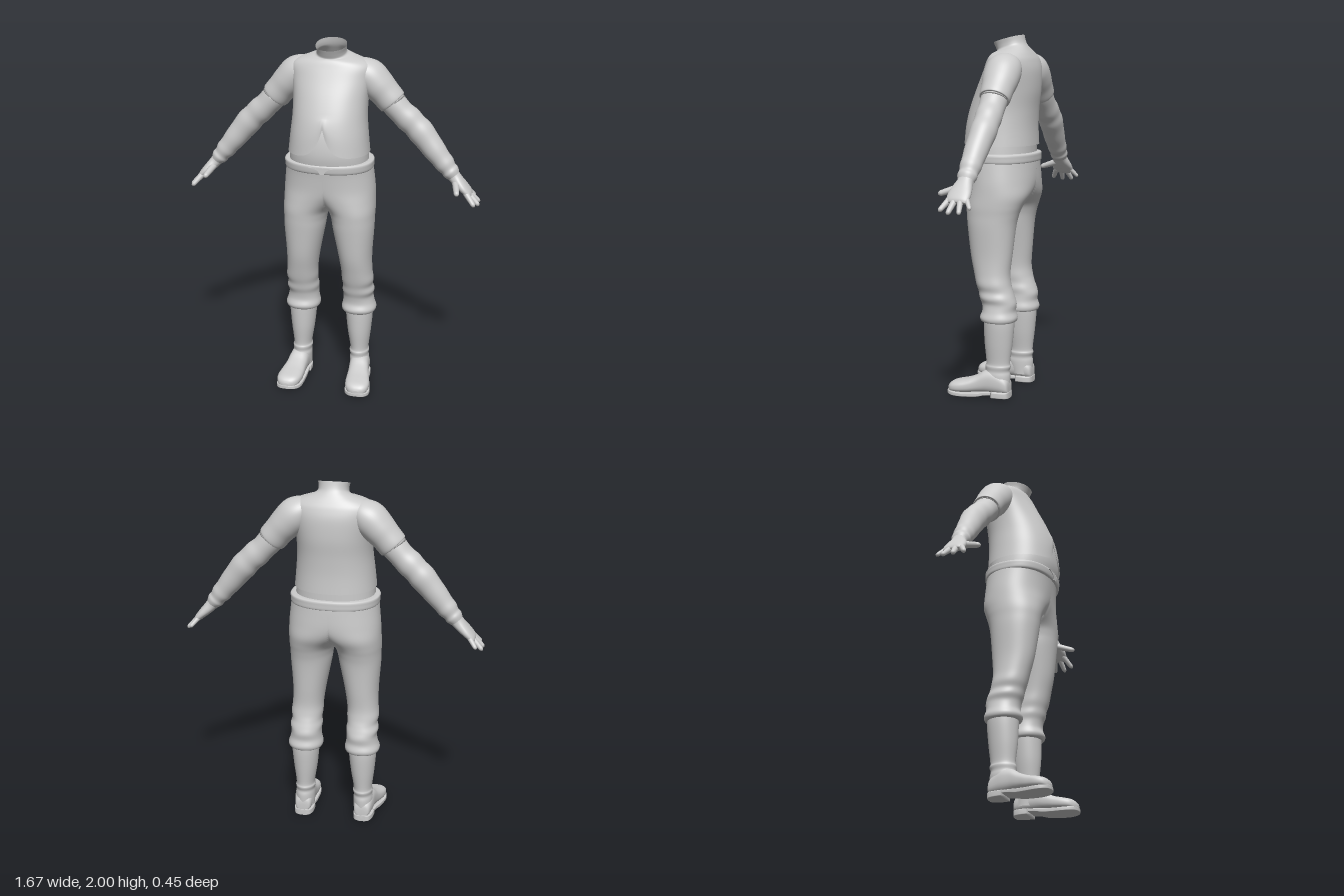
import * as THREE from 'three';

const material = new THREE.MeshStandardMaterial({ color: 0xcccccc, side: THREE.DoubleSide });
const clamp = THREE.MathUtils.clamp;

// Smoothly resample a list of cross-section rows.
function resample(rows, steps) {
  const out = [];
  const at = i => rows[clamp(i, 0, rows.length - 1)];
  for (let i = 0; i < rows.length - 1; i++) {
    for (let k = 0; k < steps; k++) {
      const t = k / steps;
      out.push(rows[i].map((b, n) => {
        const a = at(i - 1)[n], c = at(i + 1)[n], d = at(i + 2)[n];
        return b + 0.5 * t * (c - a + t * (2 * a - 5 * b + 4 * c - d + t * (3 * (b - c) + d - a)));
      }));
    }
  }
  out.push(rows[rows.length - 1]);
  return out;
}

// Skin cross-sections; point(row, cos, sin, step) places each vertex.
function loft(rows, point, { seg = 48, steps = 5, n = 2, capStart = false, capEnd = false } = {}) {
  const r = resample(rows, steps), pos = [], index = [];
  const bend = v => Math.sign(v) * Math.pow(Math.abs(v), 2 / n);
  r.forEach((row, i) => {
    const a = r[Math.max(i - 1, 0)], b = r[Math.min(i + 1, r.length - 1)];
    const step = b.map((v, k) => v - a[k]);
    for (let j = 0; j < seg; j++) {
      const q = j / seg * Math.PI * 2;
      pos.push(...point(row, bend(Math.cos(q)), bend(Math.sin(q)), step));
    }
  });
  const tri = (a, b, c) => {
    // faces lying on the mirror plane are hidden
    if (pos[a * 3] === 0 && pos[b * 3] === 0 && pos[c * 3] === 0) return;
    index.push(a, b, c);
  };
  for (let i = 0; i < r.length - 1; i++) {
    for (let j = 0; j < seg; j++) {
      const k = (j + 1) % seg, a = i * seg + j, b = i * seg + k;
      tri(a, a + seg, b);
      tri(b, a + seg, b + seg);
    }
  }
  const cap = (ring, flip) => {
    const m = [0, 0, 0], first = ring * seg, center = pos.length / 3;
    for (let j = 0; j < seg; j++) for (let k = 0; k < 3; k++) m[k] += pos[(first + j) * 3 + k] / seg;
    pos.push(...m);
    for (let j = 0; j < seg; j++) {
      const a = first + j, b = first + (j + 1) % seg;
      flip ? index.push(center, b, a) : index.push(center, a, b);
    }
  };
  if (capStart) cap(0, false);
  if (capEnd) cap(r.length - 1, true);
  const g = new THREE.BufferGeometry();
  g.setAttribute('position', new THREE.Float32BufferAttribute(pos, 3));
  g.setIndex(index);
  g.computeVertexNormals();
  return g;
}

// Row layouts: upright [y, cx, rx, zFront, zBack], limb [x, y, z, rThick, rZ], shoe [z, cx, rx, yLow, yHigh]
const upright = ([y, cx, rx, zf, zb], c, s) => [cx + rx * c, y, (zf + zb) / 2 + (zf - zb) / 2 * s];
const limb = ([x, y, z, ra, rz], c, s, d) => {
  const l = Math.hypot(d[0], d[1]);
  return [x + d[1] / l * ra * c, y - d[0] / l * ra * c, z + rz * s];
};
const shoe = ([z, cx, rx, lo, hi], c, s) => [cx - rx * c, (lo + hi) / 2 + (hi - lo) / 2 * s, z];

// Tapered rounded finger between two points.
function finger(a, b, r) {
  const from = new THREE.Vector3(...a), dir = new THREE.Vector3(...b).sub(from), len = dir.length();
  const g = new THREE.CapsuleGeometry(r, len - r, 6, 14, 4), p = g.attributes.position;
  for (let i = 0; i < p.count; i++) {
    const k = 1 - 0.3 * clamp(p.getY(i) / len + 0.5, 0, 1);
    p.setX(i, p.getX(i) * k);
    p.setZ(i, p.getZ(i) * k);
  }
  g.translate(0, (len - r) / 2, 0);
  g.applyQuaternion(new THREE.Quaternion().setFromUnitVectors(new THREE.Vector3(0, 1, 0), dir.normalize()));
  return g.translate(...a);
}

export function createModel() {
  const model = new THREE.Group();
  const add = (name, g) => {
    const m = new THREE.Mesh(g, material);
    m.name = name;
    model.add(m);
  };
  const pair = (name, g) => {
    add(name + 'Left', g);
    const h = g.clone().scale(-1, 1, 1), ix = h.index;
    for (let i = 0; i < ix.count; i += 3) {
      const t = ix.getX(i);
      ix.setX(i, ix.getX(i + 1));
      ix.setX(i + 1, t);
    }
    add(name + 'Right', h);
  };

  // Shirt with a front slit in the hem, running up to a tilted open collar
  add('shirt', loft([
    [1.40, 0, 0.225, 0.19, -0.21, 0], [1.50, 0, 0.215, 0.18, -0.207, 0],
    [1.60, 0, 0.206, 0.157, -0.212, 0], [1.70, 0, 0.208, 0.118, -0.222, 0],
    [1.80, 0, 0.222, 0.07, -0.22, 0], [1.86, 0, 0.228, 0.042, -0.205, 0],
    [1.892, 0, 0.195, 0.028, -0.188, 0.002], [1.915, 0, 0.13, 0.018, -0.168, 0.01],
    [1.93, 0, 0.088, 0.01, -0.152, 0.02], [1.95, 0, 0.081, 0.017, -0.143, 0.022],
    [1.978, 0, 0.085, 0.03, -0.136, 0.022],
  ], (row, c, s) => {
    const [x, y, z] = upright(row, c, s);
    const lift = s > 0 ? 0.16 * Math.exp(-Math.abs(x) / 0.04) * clamp((1.62 - y) / 0.22, 0, 1) : 0;
    return [x, y + lift - row[5] * s, z - lift * 0.14];
  }, { seg: 112, n: 2.2 }));
  add('undershirt', loft([
    [1.30, 0, 0.222, 0.16, -0.195], [1.40, 0, 0.217, 0.178, -0.195],
    [1.50, 0, 0.206, 0.17, -0.195], [1.58, 0, 0.195, 0.15, -0.195],
  ], upright, { seg: 64, n: 2.2 }));

  // Belt with a small front plate
  add('belt', loft([
    [1.308, 0, 0.235, 0.16, -0.207], [1.312, 0, 0.245, 0.172, -0.216],
    [1.335, 0, 0.247, 0.177, -0.217], [1.356, 0, 0.245, 0.176, -0.215], [1.36, 0, 0.215, 0.155, -0.19],
  ], upright, { seg: 72, steps: 3, n: 2.3 }));
  const plate = new THREE.Shape();
  plate.moveTo(-0.08, 0.012).quadraticCurveTo(-0.02, 0.01, -0.012, -0.024);
  plate.lineTo(0.012, -0.024).quadraticCurveTo(0.02, 0.01, 0.08, 0.012).closePath();
  add('beltPlate', new THREE.ExtrudeGeometry(plate, { depth: 0.02, bevelEnabled: false }).translate(0, 1.335, 0.158));

  // Trouser halves: wide hip rings cut at the middle, narrowing into legs with gathered knees
  const trousers = loft([
    [0.43, 0.165, 0.078, 0.02, -0.148], [0.434, 0.165, 0.094, 0.034, -0.16],
    [0.455, 0.165, 0.099, 0.042, -0.166], [0.49, 0.163, 0.09, 0.03, -0.156],
    [0.53, 0.161, 0.085, 0.034, -0.16], [0.565, 0.163, 0.091, 0.046, -0.15],
    [0.60, 0.161, 0.085, 0.054, -0.138], [0.64, 0.162, 0.09, 0.067, -0.127],
    [0.70, 0.158, 0.088, 0.082, -0.121], [0.80, 0.15, 0.095, 0.105, -0.13],
    [0.95, 0.14, 0.115, 0.125, -0.145], [1.02, 0.135, 0.122, 0.132, -0.16],
    [1.07, 0.124, 0.135, 0.137, -0.178], [1.13, 0.085, 0.173, 0.142, -0.204],
    [1.20, 0.025, 0.23, 0.15, -0.215], [1.28, 0, 0.247, 0.16, -0.215], [1.335, 0, 0.241, 0.168, -0.212],
  ], (row, c, s) => {
    const [x, y, z] = upright(row, c, s);
    return [x < 1e-4 ? 0 : x, y, z];
  }, { seg: 72, n: 2.15 });
  const tp = trousers.attributes.position, tn = trousers.attributes.normal;
  for (let i = 0; i < tp.count; i++) if (tp.getX(i) === 0) tn.setX(i, 0);
  pair('trousers', trousers);

  // Boots: shaft with ankle folds, foot, sole and heel
  pair('bootShaft', loft([
    [0.05, 0.173, 0.054, 0, -0.128], [0.12, 0.172, 0.056, 0.02, -0.131],
    [0.15, 0.171, 0.053, 0.012, -0.126], [0.175, 0.17, 0.057, 0.014, -0.133],
    [0.20, 0.17, 0.053, 0.008, -0.129], [0.30, 0.168, 0.067, 0.018, -0.141],
    [0.40, 0.167, 0.077, 0.022, -0.15], [0.47, 0.165, 0.08, 0.022, -0.15],
  ], upright, { seg: 40 }));
  pair('bootFoot', loft([
    [-0.131, 0.175, 0.022, 0.03, 0.07], [-0.12, 0.175, 0.045, 0.022, 0.11],
    [-0.06, 0.177, 0.056, 0.02, 0.155], [0, 0.181, 0.057, 0.022, 0.152],
    [0.05, 0.187, 0.06, 0.02, 0.122], [0.10, 0.194, 0.067, 0.015, 0.1],
    [0.15, 0.2, 0.07, 0.012, 0.087], [0.19, 0.203, 0.061, 0.012, 0.076],
    [0.213, 0.205, 0.04, 0.012, 0.06], [0.222, 0.205, 0.015, 0.018, 0.042],
  ], shoe, { seg: 40, n: 2.5, capStart: true, capEnd: true }));
  pair('bootSole', loft([
    [-0.06, 0.178, 0.052, 0.018, 0.034], [0, 0.182, 0.058, 0.012, 0.032],
    [0.04, 0.187, 0.063, 0.003, 0.028], [0.10, 0.195, 0.07, 0, 0.024],
    [0.15, 0.2, 0.073, 0, 0.024], [0.19, 0.203, 0.065, 0.002, 0.026],
    [0.216, 0.205, 0.043, 0.006, 0.028], [0.226, 0.205, 0.012, 0.01, 0.028],
  ], shoe, { seg: 40, n: 8, capStart: true, capEnd: true }));
  pair('bootHeel', loft([
    [-0.134, 0.176, 0.02, 0, 0.035], [-0.125, 0.176, 0.043, 0, 0.036],
    [-0.09, 0.176, 0.056, 0, 0.036], [-0.04, 0.178, 0.058, 0, 0.036],
  ], shoe, { seg: 40, n: 8, capStart: true, capEnd: true }));

  // Short sleeve, turned in at the cuff
  pair('sleeve', loft([
    [0.11, 1.85, -0.1, 0.045, 0.06], [0.155, 1.835, -0.1, 0.075, 0.09],
    [0.20, 1.805, -0.103, 0.094, 0.1], [0.25, 1.755, -0.105, 0.09, 0.097],
    [0.29, 1.712, -0.107, 0.083, 0.088], [0.33, 1.665, -0.108, 0.08, 0.082],
    [0.331, 1.664, -0.108, 0.066, 0.068],
  ], limb));
  // Long under-sleeve with soft folds at the elbow and wrist
  pair('arm', loft([
    [0.27, 1.735, -0.107, 0.065, 0.068], [0.33, 1.665, -0.108, 0.071, 0.072],
    [0.38, 1.61, -0.11, 0.068, 0.07], [0.42, 1.573, -0.113, 0.073, 0.071],
    [0.455, 1.54, -0.115, 0.069, 0.068], [0.49, 1.503, -0.115, 0.073, 0.07],
    [0.53, 1.455, -0.112, 0.067, 0.065], [0.57, 1.405, -0.108, 0.063, 0.062],
    [0.605, 1.362, -0.106, 0.056, 0.057], [0.63, 1.332, -0.105, 0.055, 0.056],
    [0.65, 1.307, -0.104, 0.046, 0.05], [0.665, 1.289, -0.103, 0.047, 0.052],
    [0.68, 1.27, -0.103, 0.038, 0.044],
  ], limb));

  // Open hand: flat palm, four spread fingers and a thumb reaching forward
  pair('palm', loft([
    [0.66, 1.293, -0.103, 0.037, 0.042], [0.685, 1.264, -0.102, 0.034, 0.042],
    [0.71, 1.237, -0.098, 0.031, 0.053], [0.74, 1.208, -0.096, 0.026, 0.062],
    [0.768, 1.18, -0.096, 0.02, 0.06], [0.78, 1.168, -0.096, 0.01, 0.05],
  ], limb, { seg: 32, n: 2.3, capEnd: true }));
  [
    ['indexFinger', [0.757, 1.187, -0.053], [0.81, 1.125, -0.012], 0.018],
    ['middleFinger', [0.764, 1.183, -0.082], [0.83, 1.115, -0.068], 0.018],
    ['ringFinger', [0.764, 1.183, -0.112], [0.828, 1.118, -0.13], 0.017],
    ['littleFinger', [0.752, 1.194, -0.138], [0.797, 1.14, -0.178], 0.015],
    ['thumb', [0.695, 1.238, -0.08], [0.717, 1.2, 0.036], 0.021],
  ].forEach(([name, a, b, r]) => pair(name, finger(a, b, r)));

  return model;
}
